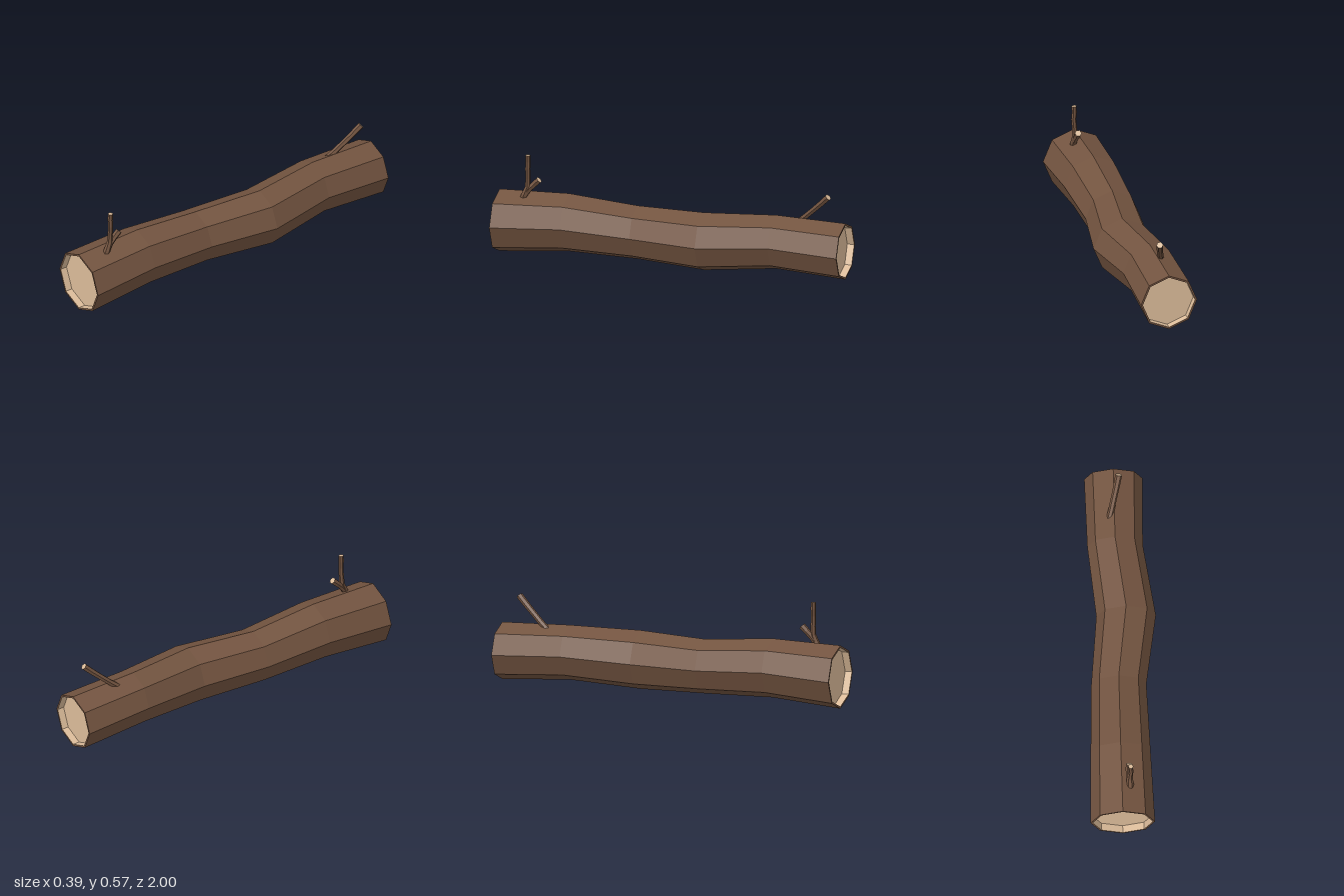
import * as THREE from 'three';

const bark = new THREE.MeshStandardMaterial({ color: 0x735440, flatShading: true });
const wood = new THREE.MeshStandardMaterial({ color: 0xdcbc9a, flatShading: true });

// Skin a row of rings { p: centre, r: radius, t: direction of travel }.
function loft(name, rings, sides, material) {
  const points = rings.map(({ p, r, t }) => {
    const u = new THREE.Vector3(1, 0, 0).addScaledVector(t, -t.x).normalize();
    const v = new THREE.Vector3().crossVectors(u, t);
    return Array.from({ length: sides }, (_, j) => {
      const a = (j / sides) * Math.PI * 2;
      return p.clone().addScaledVector(u, r * Math.cos(a)).addScaledVector(v, r * Math.sin(a));
    });
  });
  const corners = [];
  for (let i = 0; i < rings.length - 1; i++) {
    for (let j = 0; j < sides; j++) {
      const k = (j + 1) % sides;
      const [a, b, c, d] = [points[i][j], points[i][k], points[i + 1][j], points[i + 1][k]];
      if (rings[i].r > 0) corners.push(a, c, b);
      if (rings[i + 1].r > 0) corners.push(b, c, d);
    }
  }
  const geometry = new THREE.BufferGeometry().setFromPoints(corners);
  geometry.computeVertexNormals();
  const mesh = new THREE.Mesh(geometry, material);
  mesh.name = name;
  return mesh;
}

// Hexagonal twig along a path of [x, y, z, radius], closed by a pale cut end.
function twig(name, path) {
  const group = new THREE.Group();
  group.name = name;
  const centres = path.map(([x, y, z]) => new THREE.Vector3(x, y, z));
  const rings = path.map(([, , , r], i) => ({
    p: centres[i], r,
    t: centres[Math.min(i + 1, path.length - 1)].clone().sub(centres[Math.max(i - 1, 0)]).normalize(),
  }));
  const tip = rings[rings.length - 1];
  group.add(loft(name + 'Bark', rings, 6, bark));
  group.add(loft(name + 'CutEnd', [tip, { ...tip, r: 0 }], 6, wood));
  return group;
}

export function createModel() {
  const model = new THREE.Group();
  model.name = 'log';
  const back = new THREE.Vector3(0, 0, -1);
  const ring = (x, y, z, r) => ({ p: new THREE.Vector3(x, y, z), r, t: back });

  // Crooked trunk with a narrow flat rim at each end
  const rim = 0.011, recess = 0.04;
  const trunk = [
    [-0.02, 0.177, 1, 0.176], [-0.022, 0.199, 0.6, 0.164], [-0.022, 0.179, 0.2, 0.151],
    [0.028, 0.178, -0.2, 0.163], [-0.022, 0.198, -0.6, 0.152], [-0.022, 0.179, -1, 0.159],
  ];
  const [fx, fy, fz, fr] = trunk[0];
  const [bx, by, bz, br] = trunk[trunk.length - 1];
  const frontLip = ring(fx, fy, fz, fr - rim);
  const backLip = ring(bx, by, bz, br - rim);
  model.add(loft('trunkBark', [frontLip, ...trunk.map((s) => ring(...s)), backLip], 8, bark));

  // Recessed pale wood at both ends
  const f = fz - recess, b = bz + recess;
  model.add(loft('frontCutEnd', [ring(fx, fy, f, 0), ring(fx, fy, f, fr - rim), frontLip], 8, wood));
  model.add(loft('backCutEnd', [backLip, ring(bx, by, b, br - rim), ring(bx, by, b, 0)], 8, wood));

  // Forked twig near the front
  model.add(twig('frontTwig', [
    [0.022, 0.31, 0.855, 0.019], [0.025, 0.345, 0.84, 0.019], [0.023, 0.39, 0.822, 0.016],
    [0.025, 0.44, 0.82, 0.014], [0.03, 0.495, 0.82, 0.014], [0.026, 0.535, 0.82, 0.014],
    [0.028, 0.573, 0.82, 0.014],
  ]));
  model.add(twig('frontTwigFork', [
    [0.023, 0.34, 0.845, 0.017], [0.021, 0.385, 0.81, 0.017],
    [0.019, 0.41, 0.785, 0.018], [0.021, 0.437, 0.757, 0.019],
  ]));

  // Single twig leaning towards the back
  model.add(twig('backTwig', [
    [-0.052, 0.315, -0.715, 0.017], [-0.036, 0.355, -0.765, 0.017], [-0.018, 0.408, -0.825, 0.017],
    [-0.006, 0.445, -0.866, 0.018], [0.006, 0.487, -0.91, 0.019],
  ]));
  return model;
}
